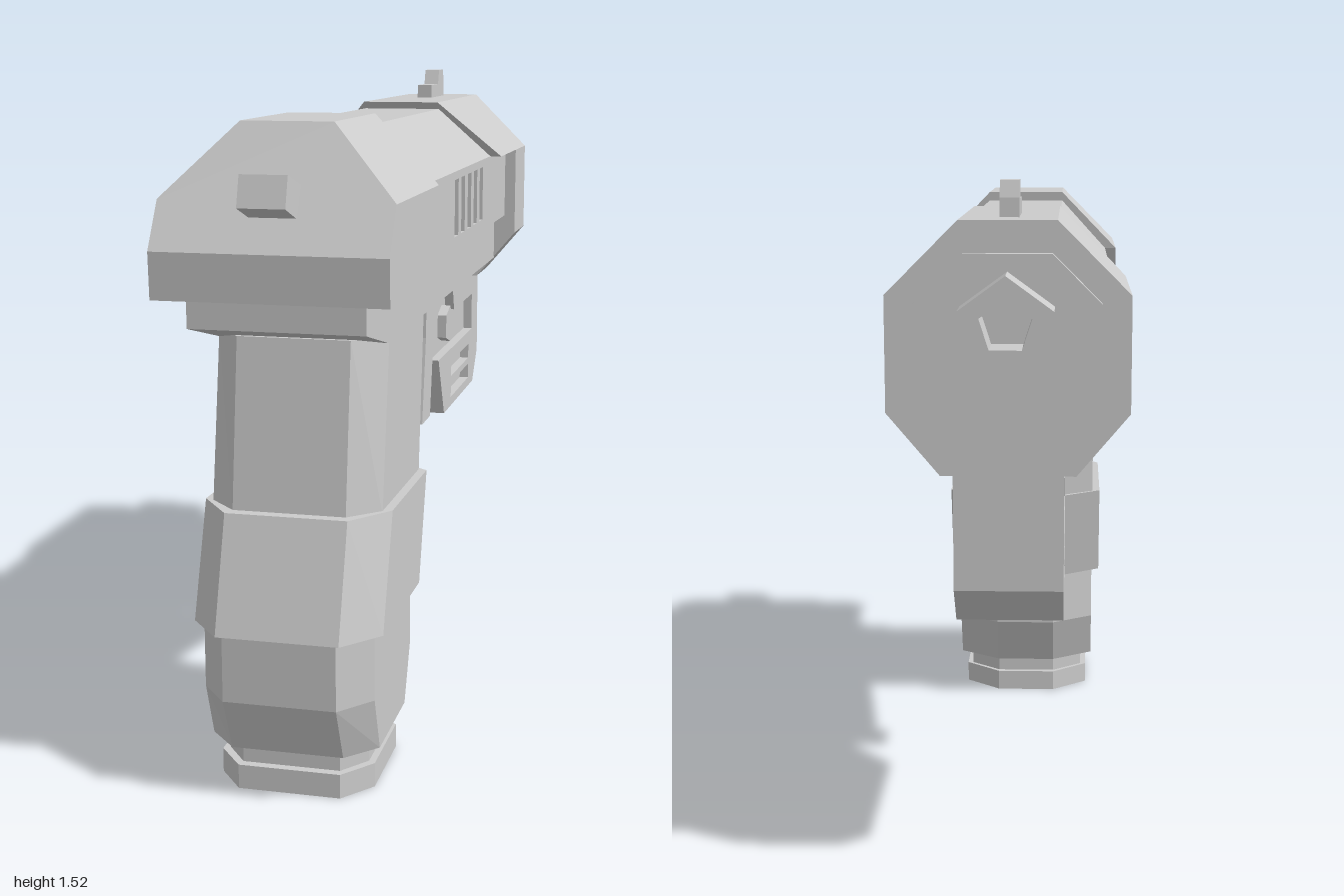
import * as THREE from 'three';

const material = new THREE.MeshStandardMaterial({ color: 0xcccccc, flatShading: true });

function add(group, name, geometry) {
  const mesh = new THREE.Mesh(geometry, material);
  mesh.name = name;
  group.add(mesh);
  return mesh;
}

function makeShape(points, holes = []) {
  const toPath = (Type, pts) => new Type(pts.map(([a, b]) => new THREE.Vector2(a, b)));
  const shape = toPath(THREE.Shape, points);
  shape.holes = holes.map((h) => toPath(THREE.Path, h));
  return shape;
}

// Side outline of [z, y] points, spanning x0 to x1
function slab(points, x0, x1, holes) {
  const g = new THREE.ExtrudeGeometry(makeShape(points, holes), { depth: x1 - x0, bevelEnabled: false });
  return g.rotateY(-Math.PI / 2).translate(x1, 0, 0);
}

// Joins cross-sections; each is the +x half of a ring, mirrored across x = 0
function loft(halves) {
  const rings = halves.map((half) => [...half, ...half.map(([x, y, z]) => [-x, y, z]).reverse()]);
  const n = rings[0].length;
  const tris = [];
  const quad = (a, b, c, d) => tris.push([a, b, c], [a, c, d]);
  for (let r = 0; r < rings.length - 1; r++) {
    for (let i = 0; i < n; i++) {
      const j = (i + 1) % n;
      quad(rings[r][i], rings[r][j], rings[r + 1][j], rings[r + 1][i]);
    }
  }
  const first = rings[0], last = rings[rings.length - 1];
  for (let i = 0; i < n / 2 - 1; i++) {
    quad(first[i + 1], first[i], first[n - 1 - i], first[n - 2 - i]);
    quad(last[i], last[i + 1], last[n - 2 - i], last[n - 1 - i]);
  }
  // Turn every face outward using the enclosed volume's sign
  const v = (p) => new THREE.Vector3(...p);
  const volume = tris.reduce((s, [a, b, c]) => s + v(a).dot(v(b).cross(v(c))), 0);
  const flat = tris.flatMap(([a, b, c]) => (volume > 0 ? [a, b, c] : [a, c, b])).flat();
  const g = new THREE.BufferGeometry();
  g.setAttribute('position', new THREE.Float32BufferAttribute(flat, 3));
  g.computeVertexNormals();
  return g;
}

// Straight run of an [x, y] half profile between two z positions
const prism = (half, z0, z1) => loft([z0, z1].map((z) => half.map(([x, y]) => [x, y, z])));

const rect = (z0, z1, y0, y1) => [[z0, y0], [z1, y0], [z1, y1], [z0, y1]];

const pentagon = (cx, cy, r, start = Math.PI / 2) =>
  Array.from({ length: 5 }, (_, i) => {
    const a = start + (i * Math.PI * 2) / 5;
    return [cx + r * Math.cos(a), cy + r * Math.sin(a)];
  });

// Chamfered grip ring: width w, back face half width b, z from back to front
const gripRing = (y, w, b, [z0, z1, z2, z3], tilt = 0) =>
  [[b, y, z0], [w, y, z1], [w, y - tilt, z2], [0.08, y - tilt, z3]];

export function createModel() {
  const model = new THREE.Group();
  model.name = 'pistol';

  // Grip, from the top down
  add(model, 'upperGrip', loft([
    gripRing(1.0, 0.19, 0.125, [0.78, 0.7, 0.335, 0.26]),
    gripRing(0.62, 0.19, 0.125, [0.83, 0.765, 0.385, 0.31]),
  ]));
  add(model, 'middleGrip', loft([
    gripRing(0.63, 0.21, 0.135, [0.855, 0.755, 0.39, 0.295], 0.006),
    gripRing(0.38, 0.21, 0.135, [0.935, 0.845, 0.47, 0.375], 0.006),
  ]));
  add(model, 'lowerGrip', loft([
    gripRing(0.385, 0.19, 0.125, [0.92, 0.84, 0.475, 0.4]),
    gripRing(0.23, 0.19, 0.125, [0.92, 0.84, 0.475, 0.4]),
    gripRing(0.1, 0.19, 0.125, [0.86, 0.79, 0.535, 0.46]),
  ]));
  const neck = [0.83, 0.765, 0.56, 0.495];
  add(model, 'gripNeck', loft([gripRing(0.105, 0.16, 0.11, neck), gripRing(0.05, 0.16, 0.11, neck)]));
  const base = [0.85, 0.775, 0.56, 0.48];
  add(model, 'gripBase', loft([gripRing(0.055, 0.175, 0.115, base), gripRing(0, 0.175, 0.115, base)]));

  // Frame under the slide
  add(model, 'frame', slab(
    [[0.91, 1.12], [0.91, 1.035], [0.71, 0.985], [-0.7, 0.985], [-0.7, 1.12]], -0.19, 0.19));

  // Slide: core, slotted side plates and sloped roof
  add(model, 'slideCore', slab(rect(-0.7, 0.6, 1.11, 1.3), -0.19, 0.19));
  const slots = [];
  for (let i = 0; i < 5; i++) {
    const z = 0.085 - i * 0.09;
    slots.push(rect(z - 0.025, z + 0.025, 1.14, 1.28));
  }
  for (const [name, x0] of [['leftSlidePlate', 0.19], ['rightSlidePlate', -0.22]]) {
    add(model, name, slab(rect(-0.7, 0.6, 1.11, 1.3), x0, x0 + 0.03, slots));
  }
  add(model, 'slideRoof', prism([[0.22, 1.3], [0.1, 1.432]], 0.6, -0.7));

  // Rear slide block with a sloped back
  const rear = [[0.25, 1.1, 0.96, 0.55], [0.25, 1.2, 0.965, 0.51], [0.25, 1.3, 0.903, 0.47], [0.1, 1.455, 0.81, 0.45]];
  add(model, 'rearSlide', loft([2, 3].map((k) => rear.map((p) => [p[0], p[1], p[k]]))));
  add(model, 'hammer', slab([[1.0, 1.295], [0.98, 1.36], [0.84, 1.32], [0.88, 1.255]], -0.05, 0.05));

  // Front cover, muzzle block and barrel
  add(model, 'frontCover', loft([
    [[0.25, 1.3, -0.42], [0.1, 1.45, -0.275]],
    [[0.25, 1.3, -0.7], [0.1, 1.45, -0.7]],
  ]));
  add(model, 'muzzleBlock', prism([[0.14, 0.93], [0.25, 1.06], [0.25, 1.3], [0.1, 1.45]], -0.69, -0.875));
  add(model, 'muzzlePlate', prism([[0.09, 0.995], [0.19, 1.09], [0.19, 1.285], [0.09, 1.385]], -0.87, -0.9));
  add(model, 'barrel', new THREE.ExtrudeGeometry(
    makeShape(pentagon(0, 1.25, 0.1), [pentagon(0, 1.25, 0.055)]),
    { depth: 0.11, bevelEnabled: false })).position.z = -1;
  add(model, 'frontSight', slab(
    [[-0.595, 1.44], [-0.595, 1.485], [-0.69, 1.485], [-0.705, 1.525], [-0.765, 1.525], [-0.775, 1.49], [-0.775, 1.44]],
    -0.02, 0.02));

  // Trigger and guard
  add(model, 'trigger', slab(
    [[0.2, 0.99], [0.185, 0.88], [0.115, 0.775], [0.03, 0.75], [0.01, 0.77], [0.08, 0.81], [0.11, 0.88], [0.085, 0.99]],
    -0.05, 0.05));
  add(model, 'guardBar', slab([[0.285, 0.745], [0.29, 0.71], [-0.11, 0.613], [-0.11, 0.648]], -0.07, 0.07));
  add(model, 'guardPost', slab(
    [[-0.145, 0.99], [-0.14, 0.84], [-0.095, 0.615], [-0.2, 0.615], [-0.25, 0.865], [-0.305, 0.865], [-0.26, 0.99]],
    -0.1, 0.1));

  // Under-barrel unit: core with raised side plates, slots and buttons
  add(model, 'underUnitCore', slab(
    [[-0.22, 0.99], [-0.24, 0.76], [-0.325, 0.595], [-0.78, 0.595], [-0.855, 0.68], [-0.855, 0.99]], -0.09, 0.09));
  const plate = [[-0.24, 0.76], [-0.325, 0.595], [-0.78, 0.595], [-0.855, 0.68], [-0.855, 0.99],
    [-0.42, 0.99], [-0.465, 0.865], [-0.755, 0.865], [-0.76, 0.76]];
  const vents = [0.62, 0.68].map((y) => rect(-0.705, -0.425, y, y + 0.042));
  for (const [side, x0] of [['left', 0.09], ['right', -0.115]]) {
    add(model, side + 'UnitPlate', slab(plate, x0, x0 + 0.025, vents));
    add(model, side + 'UnitButton', slab(pentagon(-0.39, 0.835, 0.053, Math.PI), x0, x0 + 0.025));
  }

  return model;
}
